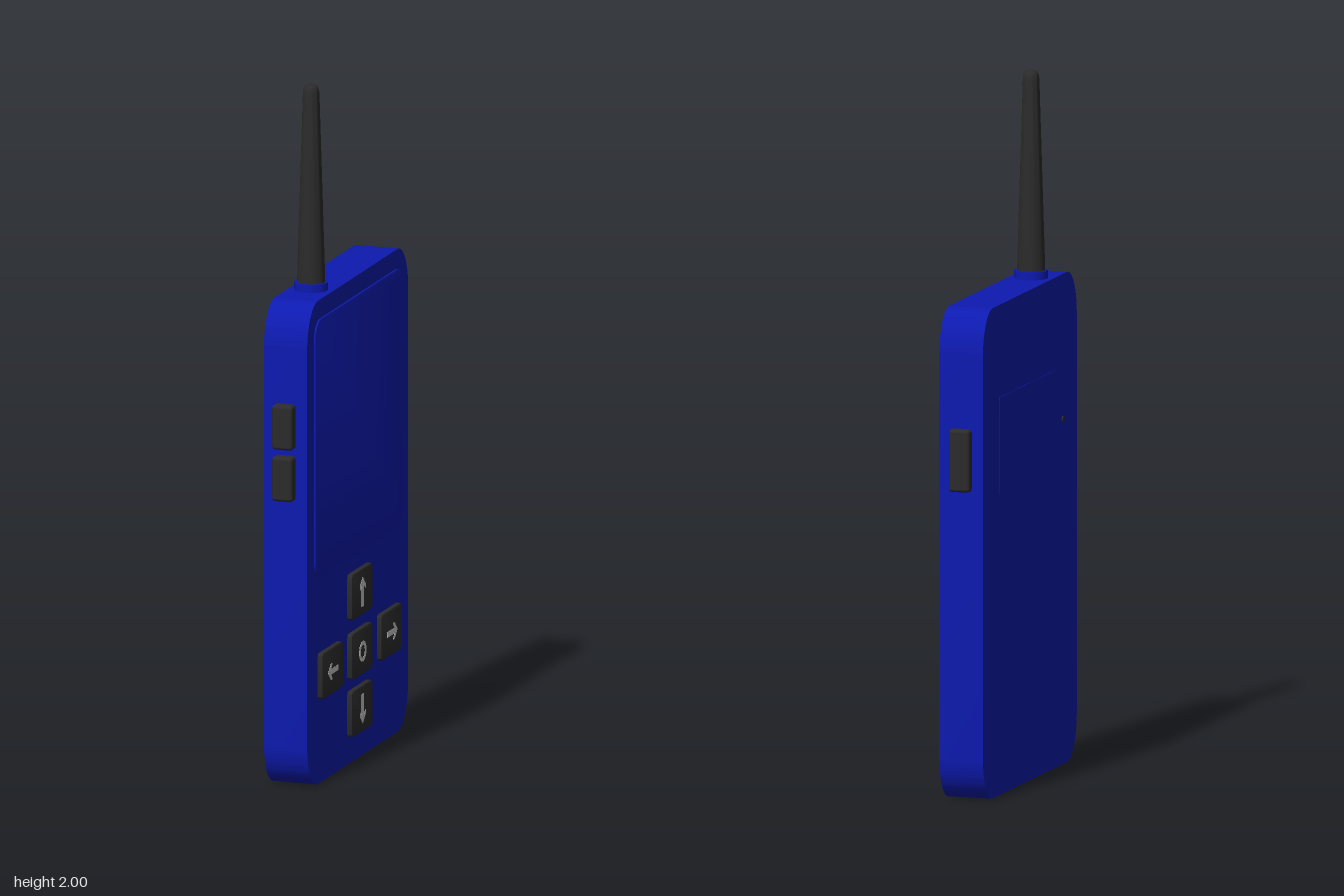
import * as THREE from 'three';
import { toCreasedNormals } from 'three/addons/utils/BufferGeometryUtils.js';
import { RoundedBoxGeometry } from 'three/addons/geometries/RoundedBoxGeometry.js';

const blue = new THREE.MeshStandardMaterial({ color: 0x0d1ab0 });
const dark = new THREE.MeshStandardMaterial({ color: 0x2b2b2b });
const pale = new THREE.MeshStandardMaterial({ color: 0xcccccc });

// Rectangle centred on the origin with elliptical corners (rx by ry)
function roundedRect(w, h, rx, ry = rx) {
  const s = new THREE.Shape();
  const x = w / 2, y = h / 2;
  s.moveTo(x, -y + ry);
  s.lineTo(x, y - ry);
  s.absellipse(x - rx, y - ry, rx, ry, 0, Math.PI / 2, false);
  s.absellipse(-x + rx, y - ry, rx, ry, Math.PI / 2, Math.PI, false);
  s.absellipse(-x + rx, -y + ry, rx, ry, Math.PI, Math.PI * 1.5, false);
  s.absellipse(x - rx, -y + ry, rx, ry, Math.PI * 1.5, Math.PI * 2, false);
  return s;
}

// Plate in the YZ plane reaching from x0 to x1, centred at (y, z)
function plate(name, shape, material, x0, x1, y, z, bevel = 0) {
  const geo = new THREE.ExtrudeGeometry(shape, {
    depth: x1 - x0 - bevel, curveSegments: 14, bevelEnabled: bevel > 0,
    bevelThickness: bevel, bevelSize: bevel, bevelOffset: -bevel, bevelSegments: 2,
  });
  geo.rotateY(Math.PI / 2);
  const mesh = new THREE.Mesh(toCreasedNormals(geo, 0.5), material);
  mesh.name = name;
  mesh.position.set(x0, y, z);
  return mesh;
}

// Upward arrow, turned by an angle
function arrowShape(angle) {
  const pts = [[-0.008, -0.043], [0.008, -0.043], [0.008, 0.018], [0.024, 0.006],
    [0.024, 0.019], [0, 0.043], [-0.024, 0.019], [-0.024, 0.006], [-0.008, 0.018]];
  return new THREE.Shape(pts.map(([x, y]) =>
    new THREE.Vector2(x, y).rotateAround(new THREE.Vector2(), angle)));
}

function ringShape() {
  const s = new THREE.Shape().absarc(0, 0, 0.03, 0, Math.PI * 2, false);
  s.holes.push(new THREE.Path().absarc(0, 0, 0.018, 0, Math.PI * 2, true));
  return s;
}

export function createModel() {
  const group = new THREE.Group();
  group.name = 'handheldDevice';

  // Casing, raised screen, rear plate and small rear dot
  group.add(plate('casing', roundedRect(0.845, 1.405, 0.09, 0.13), blue, -0.072, 0.058, 0.7025, -0.003));
  group.add(plate('screen', roundedRect(0.73, 0.75, 0.05), blue, 0.05, 0.063, 0.975, -0.003, 0.003));
  group.add(plate('rearPlate', roundedRect(0.5, 0.28, 0.005), blue, -0.074, -0.065, 1.0, -0.03));
  const dot = new THREE.Mesh(new THREE.CylinderGeometry(0.008, 0.008, 0.012, 16), dark);
  dot.name = 'rearDot';
  dot.rotation.z = Math.PI / 2;
  dot.position.set(-0.07, 0.99, 0.29);
  group.add(dot);

  // Keypad: four arrows around a centre key
  const keys = [
    ['up', 0.485, 0, 0], ['down', 0.145, 0, Math.PI],
    ['left', 0.312, 0.247, Math.PI / 2], ['right', 0.312, -0.247, -Math.PI / 2],
    ['centre', 0.312, 0, null],
  ];
  for (const [name, y, z, angle] of keys) {
    group.add(plate(name + 'Key', roundedRect(0.172, 0.134, 0.012), dark, 0.05, 0.0735, y, z - 0.002, 0.005));
    const icon = angle === null ? ringShape() : arrowShape(angle);
    group.add(plate(name + 'Icon', icon, pale, 0.07, 0.0745, y, z - 0.002));
  }

  // Side buttons: two on the front edge, one on the back edge
  const sideButtons = [
    ['upperSideButton', 1.056, 0.42, 0.13],
    ['lowerSideButton', 0.906, 0.42, 0.13],
    ['backSideButton', 0.98, -0.42, 0.18],
  ];
  for (const [name, y, z, h] of sideButtons) {
    const b = new THREE.Mesh(new RoundedBoxGeometry(0.062, h, 0.06, 3, 0.01), dark);
    b.name = name;
    b.position.set(-0.008, y, z);
    group.add(b);
  }

  // Antenna collar
  const collar = new THREE.Mesh(new THREE.CylinderGeometry(0.048, 0.048, 0.04, 32), blue);
  collar.name = 'antennaCollar';
  collar.position.set(-0.008, 1.408, 0.202);
  group.add(collar);

  // Tapered antenna with a rounded tip
  const profile = [[0.04, 1.4], [0.04, 1.428], [0.0235, 1.975], [0.022, 1.988], [0.018, 1.996], [0.012, 2], [0, 2]]
    .map(([r, y]) => new THREE.Vector2(r, y));
  const antenna = new THREE.Mesh(toCreasedNormals(new THREE.LatheGeometry(profile, 32), 0.6), dark);
  antenna.name = 'antenna';
  antenna.position.set(-0.008, 0, 0.202);
  group.add(antenna);

  return group;
}
